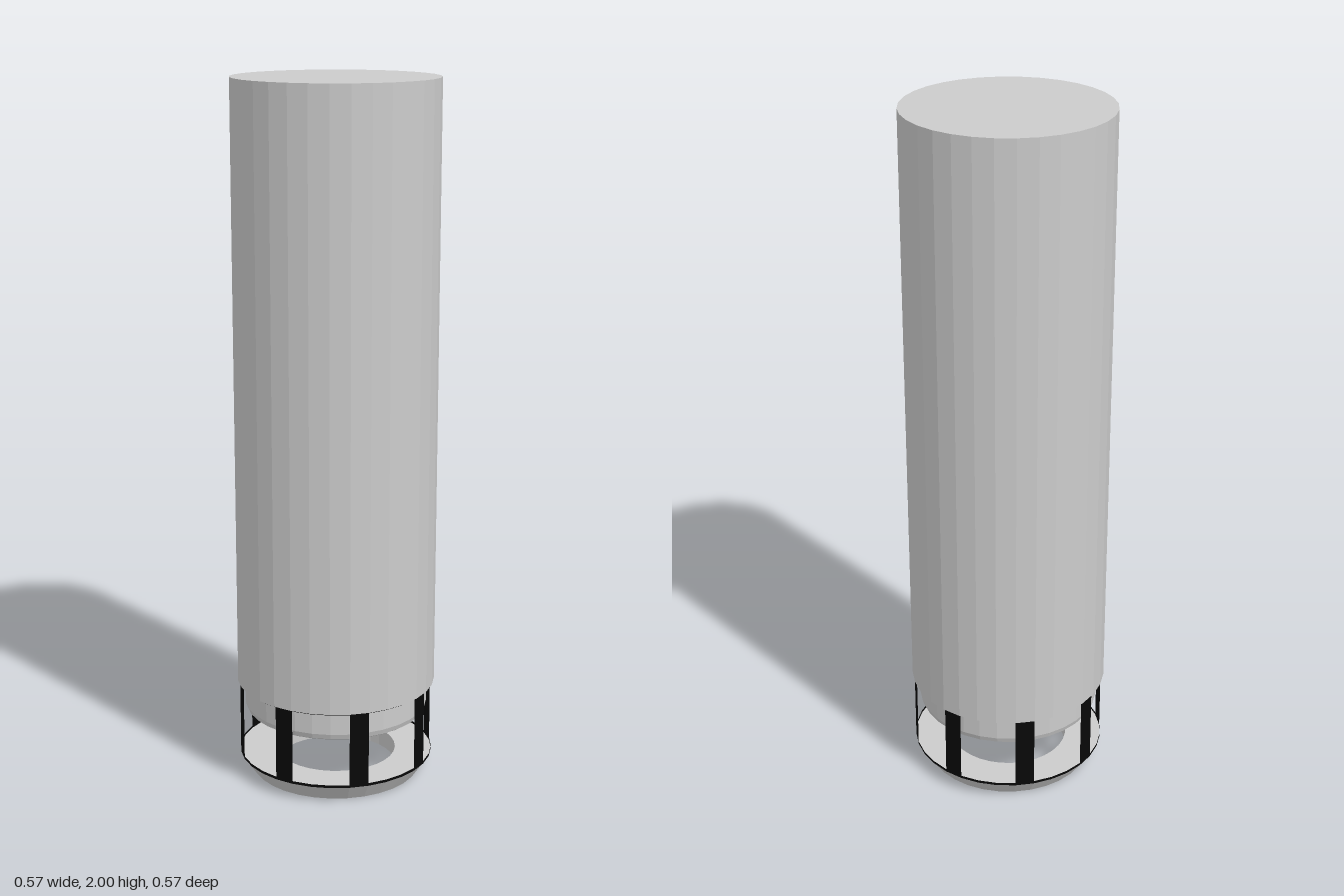
import * as THREE from 'three';

const SIDES = 32;
const grey = new THREE.MeshStandardMaterial({ color: 0xcccccc, flatShading: true, side: THREE.DoubleSide });
const black = new THREE.MeshStandardMaterial({ color: 0x080808, flatShading: true, side: THREE.DoubleSide });

function add(parent, name, geometry, material, y = 0) {
  const mesh = new THREE.Mesh(geometry, material);
  mesh.name = name;
  mesh.position.y = y;
  parent.add(mesh);
  return mesh;
}

// Turned part from [radius, height] pairs
function turned(points) {
  return new THREE.LatheGeometry(points.map(([r, y]) => new THREE.Vector2(r, y)), SIDES);
}

// Open strip of cylinder wall between two heights
function wall(radius, y0, y1, segments = SIDES, start = 0, sweep = Math.PI * 2) {
  return new THREE.CylinderGeometry(radius, radius, y1 - y0, segments, 1, true, start, sweep)
    .translate(0, (y0 + y1) / 2, 0);
}

export function createModel() {
  const model = new THREE.Group();
  model.name = 'cylinderWithCage';

  // Long solid body
  add(model, 'body', new THREE.CylinderGeometry(0.287, 0.287, 1.725, SIDES), grey, 1.1375);

  // Hollow collar below the body, with a rounded lower lip
  add(model, 'collar', turned([
    [0.24, 0.275], [0.24, 0.19], [0.245, 0.185], [0.252, 0.185],
    [0.26, 0.19], [0.265, 0.205], [0.265, 0.275],
  ]), grey);

  // Tapered foot ring with a central hole
  add(model, 'footRing', turned([
    [0.175, 0], [0.245, 0], [0.28, 0.052], [0.175, 0.052], [0.175, 0],
  ]), grey);

  // Open cage: eight thin bars between two narrow bands
  const cage = new THREE.Group();
  cage.name = 'cage';
  model.add(cage);
  const step = (Math.PI * 2) / SIDES;
  for (let i = 0; i < 8; i++) {
    add(cage, 'cageBar', wall(0.281, 0.052, 0.275, 1, (i * 4 - 1) * step, step), black);
  }
  add(cage, 'lowerBand', wall(0.281, 0.05, 0.058), black);
  add(cage, 'upperBand', wall(0.281, 0.271, 0.275), black);

  return model;
}
